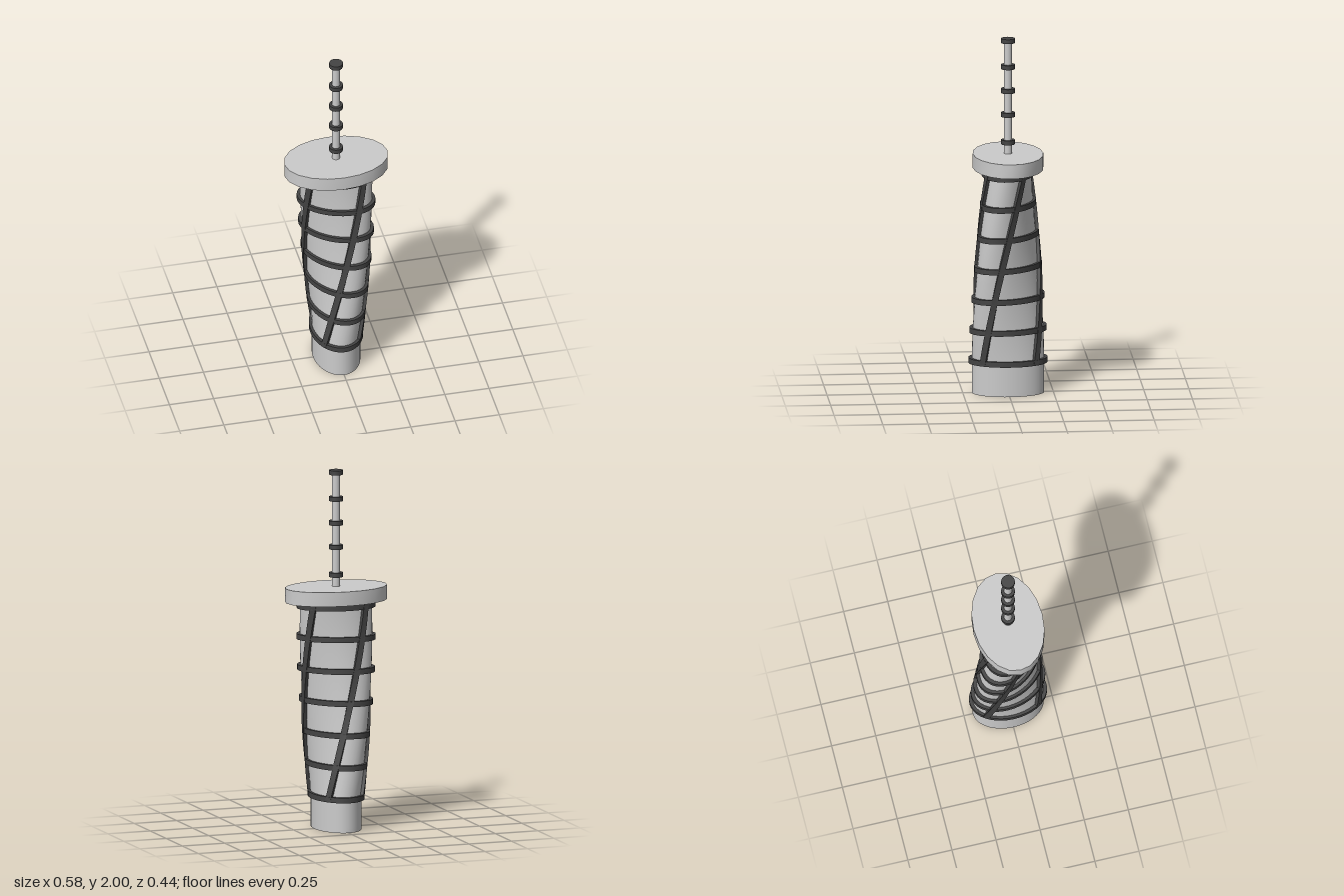
import * as THREE from 'three';
import { toCreasedNormals } from 'three/addons/utils/BufferGeometryUtils.js';

const grey = new THREE.MeshStandardMaterial({ color: 0xcccccc });
const dark = new THREE.MeshStandardMaterial({ color: 0x444444 });

const RX = 0.13, RZ = 0.2;          // half axes of the oval plan
const Y0 = 0.18, Y1 = 1.27;         // the twist runs between these heights
const TWIST = 1.42;
const twistAt = (y) => TWIST * THREE.MathUtils.clamp((y - Y0) / (Y1 - Y0), 0, 1);

// Turns every vertex about the vertical axis according to its height
function twist(geometry) {
  const p = geometry.attributes.position;
  const v = new THREE.Vector3();
  const up = new THREE.Vector3(0, 1, 0);
  for (let i = 0; i < p.count; i++) {
    v.fromBufferAttribute(p, i);
    v.applyAxisAngle(up, twistAt(v.y));
    p.setXYZ(i, v.x, v.y, v.z);
  }
  return toCreasedNormals(geometry, 0.6);
}

function ovalDisc(rx, rz, height, sides, rows = 1) {
  return new THREE.CylinderGeometry(1, 1, height, sides, rows).scale(rx, 1, rz);
}

// Strip that follows the wall at one point of the oval
function ribGeometry(sx, sz) {
  const height = Y1 - Y0;
  const point = new THREE.Vector2(sx * RX, sz * RZ).multiplyScalar(Math.SQRT1_2);
  const normal = new THREE.Vector2(point.x / RX ** 2, point.y / RZ ** 2).normalize();
  const angle = Math.atan2(normal.x, normal.y);
  const g = new THREE.BoxGeometry(0.035, height, 0.034, 1, 28, 1);
  g.rotateY(angle);
  g.translate(point.x, Y0 + height / 2, point.y);
  return twist(g);
}

export function createModel() {
  const model = new THREE.Group();
  const add = (name, geometry, material, y = 0) => {
    const mesh = new THREE.Mesh(geometry, material);
    mesh.name = name;
    mesh.position.y = y;
    model.add(mesh);
    return mesh;
  };

  // Twisted oval tower with a straight foot
  const body = ovalDisc(RX, RZ, Y1, 40, 42);
  body.translate(0, Y1 / 2, 0);
  add('towerBody', twist(body), grey);

  // Floor bands, each turned with the tower
  for (let i = 0; i < 7; i++) {
    const y = 0.185 + i * 0.1772;
    const band = add('floorBand', toCreasedNormals(ovalDisc(RX + 0.015, RZ + 0.019, 0.03, 40), 0.6), dark, y);
    band.rotation.y = twistAt(y);
  }

  // Four spiralling ribs
  for (const sx of [-1, 1]) {
    for (const sz of [-1, 1]) add('spiralRib', ribGeometry(sx, sz), dark);
  }

  // Overhanging roof plate
  add('roofPlate', toCreasedNormals(ovalDisc(0.292, 0.195, 0.08, 20), 0.6), grey, 1.31);

  // Mast with collars
  add('mast', new THREE.CylinderGeometry(0.022, 0.022, 0.65, 20), grey, 1.665);
  for (const y of [1.415, 1.57, 1.705, 1.84, 1.9875]) {
    add('mastCollar', new THREE.CylinderGeometry(0.038, 0.038, 0.025, 24), dark, y);
  }
  return model;
}
